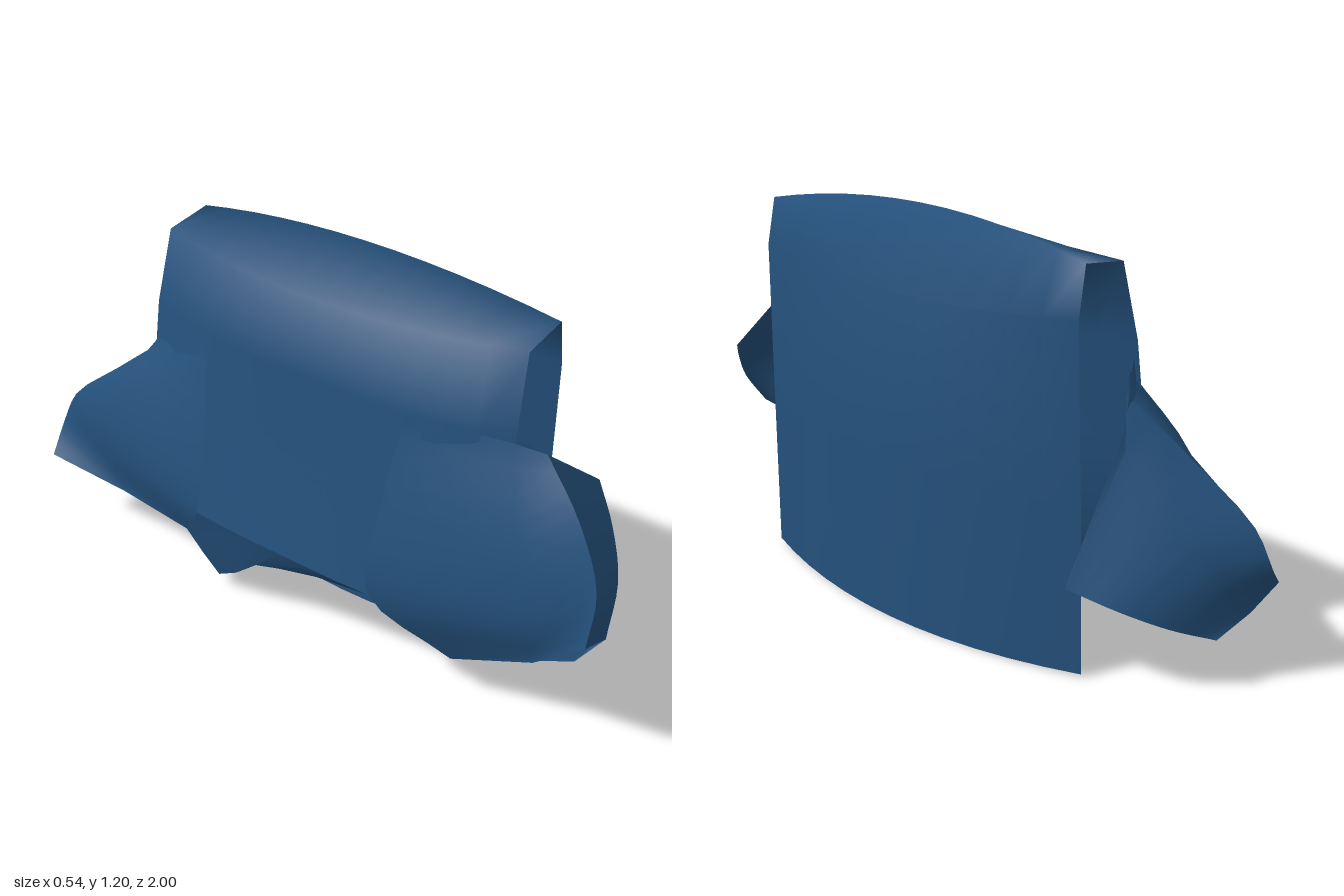
import * as THREE from 'three';

const blue = new THREE.MeshStandardMaterial({ color: 0x24507b, side: THREE.DoubleSide });
blue.name = 'deep blue';

// Smooth sheet through rows of equal numbers of points
function sheet(name, rows) {
  const n = rows[0].length, pos = [], index = [];
  rows.forEach(r => r.forEach(p => pos.push(p.x, p.y, p.z)));
  for (let i = 0; i < rows.length - 1; i++) {
    for (let j = 0; j < n - 1; j++) {
      const a = i * n + j, b = a + n;
      index.push(a, a + 1, b, b, a + 1, b + 1);
    }
  }
  const g = new THREE.BufferGeometry();
  g.setAttribute('position', new THREE.Float32BufferAttribute(pos, 3));
  g.setIndex(index);
  g.computeVertexNormals();
  const mesh = new THREE.Mesh(g, blue);
  mesh.name = name;
  return mesh;
}

const curve = (pts, n = 12) =>
  new THREE.CatmullRomCurve3(pts.map(p => new THREE.Vector3(...p)), false, 'centripetal').getPoints(n);

// Stations over the saddle: outer x,y | rim x,y | inner x,y | front z, back z | outer bulge power
const stations = [
  [0.27, 0.005, 0.155, 0.015, 0.04, 0.005, 0.64, -0.62, 2],
  [0.25, 0.5, 0.155, 0.5, 0.06, 0.5, 0.64, -0.6, 2],
  [0.225, 0.98, 0.15, 1.0, 0.08, 1.04, 0.645, -0.57, 2],
  [0.09, 1.205, 0.115, 1.14, 0.072, 1.065, 0.65, -0.56, 2],
  [-0.125, 1.105, -0.04, 1.12, 0.03, 1.07, 0.65, -0.56, 2],
  [-0.155, 0.88, -0.09, 0.9, 0.01, 0.88, 0.66, -0.58, 3],
  [-0.2, 0.6, -0.12, 0.6, -0.01, 0.6, 0.65, -0.6, 4],
  [-0.255, 0.32, -0.15, 0.33, -0.03, 0.31, 0.63, -0.62, 4],
];

// Uneven lower edge of the left panel, back to front
const hem = curve([
  [-0.17, 0.19, -0.6], [-0.18, 0.17, -0.44], [-0.18, 0.05, -0.31], [-0.22, 0.2, -0.12],
  [-0.2, 0.24, 0.05], [-0.15, 0.34, 0.3], [-0.165, 0.15, 0.55]]);

// Half of a lens-shaped section, bulging from the rim to the outer or inner point
function halfLens(s, k, power) {
  const pts = [];
  for (let i = 0; i <= 12; i++) {
    const u = -1 + i / 6;
    const f = 1 - Math.abs(u) ** power;
    pts.push(new THREE.Vector3(
      s[2] + (s[k] - s[2]) * f,
      s[3] + (s[k + 1] - s[3]) * f,
      s[7] + (s[6] - s[7]) * (u + 1) / 2));
  }
  return pts;
}

// Hollow arm: a web from the panel to a fold, a flap turned inwards, and a lining
function arm(name, web, flap, lining) {
  const g = new THREE.Group();
  g.name = name;
  const [w, f, l] = [web, flap, lining].map(rows => rows.map(r => curve(r)));
  const fold = w[w.length - 1], free = f[f.length - 1];
  g.add(sheet('armWeb', w), sheet('armFlap', [fold, ...f]), sheet('armLining', [...l, free]));
  return g;
}

export function createModel() {
  const model = new THREE.Group();
  model.name = 'foldedPlate';

  // Folded hollow body with a lens-shaped section, open at the right end
  const outer = stations.map(s => halfLens(s, 0, s[8]));
  const inner = stations.map(s => halfLens(s, 4, 2));
  model.add(sheet('outerShell', outer));
  model.add(sheet('lowerEdge', [outer[outer.length - 1], hem]));
  model.add(sheet('innerShell', [...inner, hem].map(r => r.slice().reverse())));

  // Curled arm at the front
  model.add(arm('frontArm',
    [
      [[-0.15, 0.88, 0.36], [-0.2, 0.6, 0.32], [-0.253, 0.33, 0.32], [-0.165, 0.15, 0.55]],
      [[-0.1, 0.885, 0.66], [-0.195, 0.65, 0.75], [-0.205, 0.42, 0.8], [-0.15, 0.26, 0.8]],
      [[-0.065, 0.865, 0.74], [-0.13, 0.75, 0.88], [-0.2, 0.62, 0.98], [-0.27, 0.5, 1]],
    ],
    [
      [[0.195, 0.66, 0.77], [0.12, 0.58, 0.86], [0.04, 0.48, 0.93], [-0.06, 0.365, 0.96]],
    ],
    [
      [[-0.09, 0.9, 0.64], [-0.13, 0.55, 0.64], [-0.165, 0.15, 0.55]],
      [[-0.04, 0.84, 0.75], [-0.06, 0.68, 0.8], [-0.1, 0.5, 0.87], [-0.13, 0.31, 0.91]],
    ]));

  // Curled arm at the back
  model.add(arm('backArm',
    [
      [[-0.15, 0.87, -0.34], [-0.2, 0.6, -0.32], [-0.253, 0.33, -0.32], [-0.18, 0.17, -0.44]],
      [[-0.09, 0.81, -0.56], [-0.19, 0.58, -0.7], [-0.205, 0.38, -0.76], [-0.19, 0.21, -0.7]],
      [[-0.05, 0.76, -0.58], [-0.1, 0.6, -0.78], [-0.13, 0.46, -0.95], [-0.15, 0.35, -1], [-0.24, 0.27, -0.97]],
    ],
    [
      [[0.08, 0.66, -0.68], [0.04, 0.46, -0.83], [-0.04, 0.34, -0.93], [-0.14, 0.21, -0.95]],
      [[0.2, 0.28, -0.59], [0.16, 0.25, -0.74], [0.07, 0.2, -0.84], [-0.03, 0.16, -0.92]],
    ],
    [
      [[-0.09, 0.85, -0.57], [-0.13, 0.55, -0.59], [-0.17, 0.19, -0.6]],
      [[0.02, 0.68, -0.63], [0, 0.5, -0.72], [-0.05, 0.34, -0.82], [-0.12, 0.23, -0.86]],
    ]));

  return model;
}
